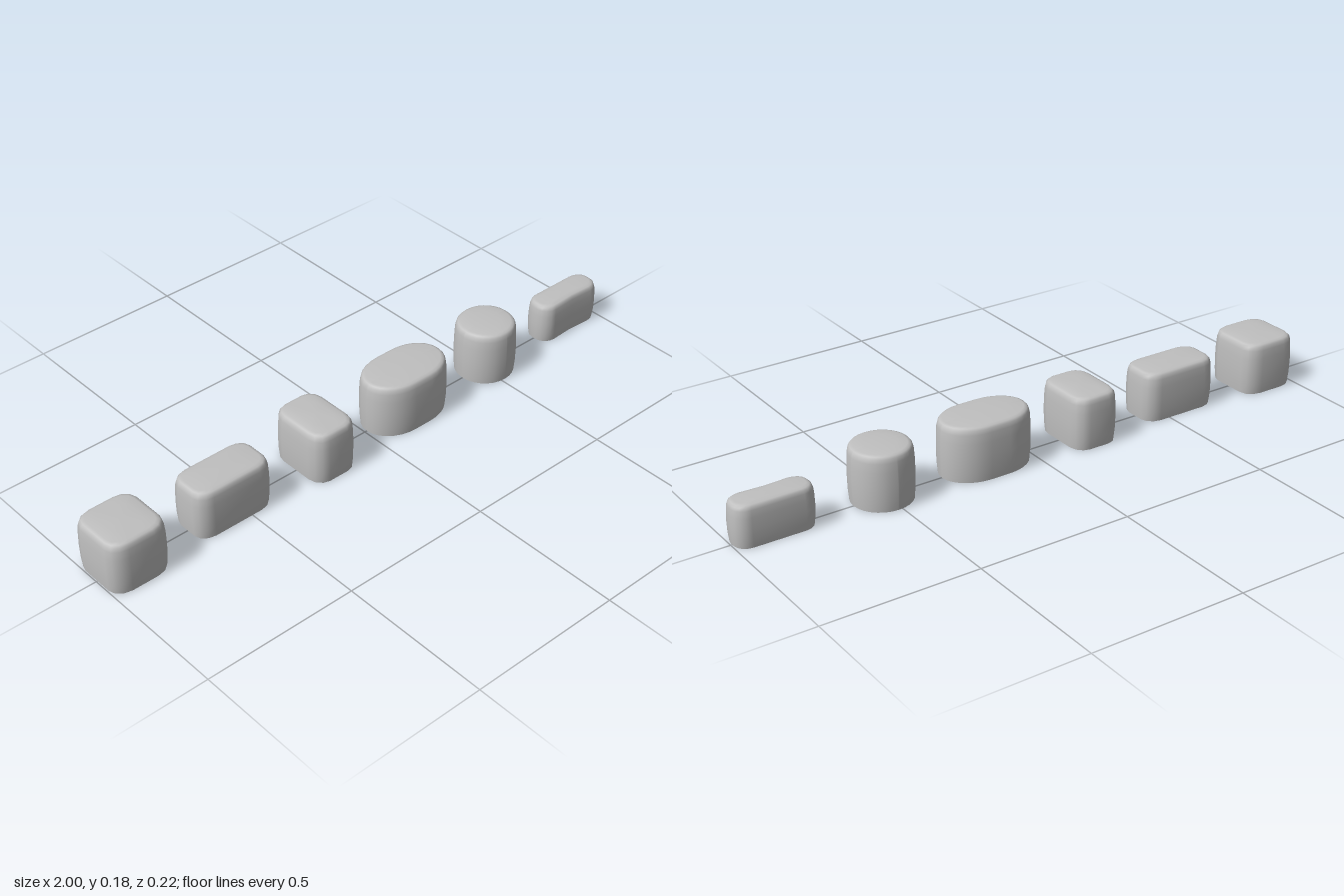
import * as THREE from 'three';

// Rounded-rectangle outline with elliptical corners and a midpoint on every side
function outline(hw, hd, rx, rz, steps, pinch) {
  const pts = [];
  const mids = [[0, hd - pinch], [-hw, 0], [0, -hd], [hw, 0]];
  const signs = [[1, 1], [-1, 1], [-1, -1], [1, -1]];
  signs.forEach(([sx, sz], q) => {
    for (let i = 0; i <= steps; i++) {
      const a = (q + i / steps) * Math.PI / 2;
      pts.push([sx * (hw - rx) + rx * Math.cos(a), sz * (hd - rz) + rz * Math.sin(a)]);
    }
    pts.push(mids[q]);
  });
  return pts;
}

// Height fraction and inset of each loop, from the open hem to the soft top edge
const loops = [
  [0, 0.004], [0.2, 0.001], [0.45, 0], [0.7, 0.001], [0.86, 0.003],
  [0.93, 0.006], [0.965, 0.011], [0.982, 0.02],
];

// Open-bottomed shell built from stacked loops and closed by a shallow dome
function shellGeometry({ hw, hd, h, rx, rz, steps, pinch = 0 }) {
  const base = outline(hw, hd, rx, rz, steps, pinch);
  const n = base.length;
  const pos = [];
  const idx = [];
  const addLoop = (y, kx, kz) => base.forEach(([x, z]) => pos.push(x * kx, y, z * kz));
  loops.forEach(([f, d]) => addLoop(h * f, 1 - d / hw, 1 - d / hd));
  addLoop(h * 0.995, 0.5, 0.5);
  for (let j = 0; j < loops.length; j++) {
    for (let i = 0; i < n; i++) {
      const a = j * n + i, b = j * n + (i + 1) % n;
      idx.push(a, a + n, b, b, a + n, b + n);
    }
  }
  const last = loops.length * n;
  pos.push(0, h, 0);
  for (let i = 0; i < n; i++) idx.push(last + i, last + n, last + (i + 1) % n);
  const g = new THREE.BufferGeometry();
  g.setAttribute('position', new THREE.Float32BufferAttribute(pos, 3));
  g.setIndex(idx);
  g.computeVertexNormals();
  return g;
}

export function createModel() {
  const group = new THREE.Group();
  const grey = new THREE.MeshStandardMaterial({ color: 0xc0c0c0, side: THREE.DoubleSide });
  grey.name = 'soft grey';

  const pieces = [
    { name: 'squarePouf', x: -0.9, z: -0.002, hw: 0.1, hd: 0.102, h: 0.175, rx: 0.055, rz: 0.045, steps: 3 },
    { name: 'longPouf', x: -0.549, hw: 0.136, hd: 0.075, h: 0.165, rx: 0.05, rz: 0.042, steps: 3 },
    { name: 'deepPouf', x: -0.197, hw: 0.082, hd: 0.109, h: 0.175, rx: 0.046, rz: 0.05, steps: 3 },
    { name: 'ovalPouf', x: 0.158, hw: 0.153, hd: 0.097, h: 0.181, rx: 0.12, rz: 0.094, steps: 7 },
    { name: 'roundPouf', x: 0.513, hw: 0.099, hd: 0.098, h: 0.181, rx: 0.097, rz: 0.096, steps: 7 },
    { name: 'slimPouf', x: 0.87, hw: 0.129, hd: 0.052, h: 0.136, rx: 0.045, rz: 0.042, steps: 4, pinch: 0.005 },
  ];
  for (const p of pieces) {
    const mesh = new THREE.Mesh(shellGeometry(p), grey);
    mesh.name = p.name;
    mesh.position.set(p.x, 0, p.z ?? 0);
    group.add(mesh);
  }
  return group;
}
